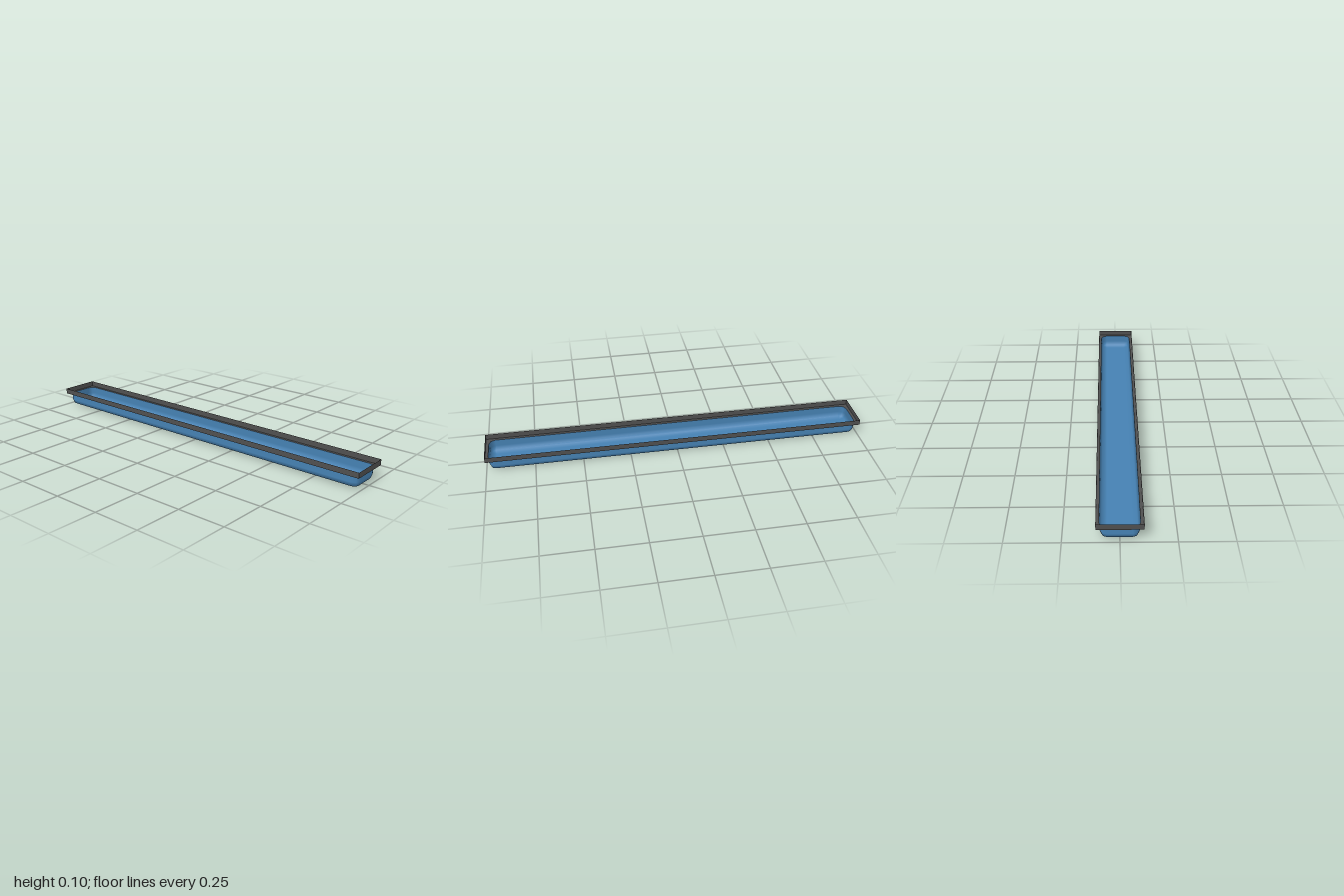
import * as THREE from 'three';

const X = 0.089, Z = 0.985, R = 0.033;      // basin half sizes and edge radius
const RIM_X = 0.104, RIM_Z = 1, LEDGE = 0.068, TOP = 0.097;
const STEPS = 2;                            // segments per rounded quarter

// Plan directions around the four rounded corners, with each corner's centre
function cornerPoints() {
  const pts = [];
  const signs = [[1, 1], [-1, 1], [-1, -1], [1, -1]];
  signs.forEach(([sx, sz], q) => {
    for (let i = 0; i <= STEPS; i++) {
      const a = (q + i / STEPS) * Math.PI / 2;
      pts.push({ cx: sx * (X - R), cz: sz * (Z - R), dx: Math.cos(a), dz: Math.sin(a) });
    }
  });
  return pts;
}

// Open tray: straight walls curving into a flat floor
function basinGeometry() {
  const plan = cornerPoints(), n = plan.length;
  const rows = [{ y: LEDGE, a: 0 }];
  for (let i = 0; i <= STEPS; i++) {
    const a = i / STEPS * Math.PI / 2;
    rows.push({ y: R * (1 - Math.sin(a)), a });
  }
  const pos = [], nor = [], idx = [];
  for (const { y, a } of rows) {
    const c = Math.cos(a), s = Math.sin(a);
    for (const p of plan) {
      pos.push(p.cx + p.dx * R * c, y, p.cz + p.dz * R * c);
      nor.push(p.dx * c, -s, p.dz * c);
    }
  }
  for (let r = 0; r < rows.length - 1; r++) {
    for (let i = 0; i < n; i++) {
      const a = r * n + i, b = r * n + (i + 1) % n;
      idx.push(a, b, a + n, b, b + n, a + n);
    }
  }
  // floor fan
  const base = (rows.length - 1) * n;
  for (let i = 1; i < n - 1; i++) idx.push(base, base + i, base + i + 1);
  const g = new THREE.BufferGeometry();
  g.setAttribute('position', new THREE.Float32BufferAttribute(pos, 3));
  g.setAttribute('normal', new THREE.Float32BufferAttribute(nor, 3));
  g.setIndex(idx);
  return g;
}

// Flat ledge with a rounded opening for the basin
function ledgeGeometry() {
  const shape = new THREE.Shape([[-1, -1], [1, -1], [1, 1], [-1, 1]]
    .map(([x, z]) => new THREE.Vector2(x * RIM_X, z * RIM_Z)));
  shape.holes.push(new THREE.Path(cornerPoints()
    .map(p => new THREE.Vector2(p.cx + p.dx * R, p.cz + p.dz * R))));
  return new THREE.ShapeGeometry(shape).rotateX(-Math.PI / 2).translate(0, LEDGE, 0);
}

export function createModel() {
  const model = new THREE.Group();
  model.name = 'trough';
  const blue = new THREE.MeshStandardMaterial({ color: 0x4682b4, side: THREE.DoubleSide });
  blue.name = 'basin blue';
  const grey = new THREE.MeshStandardMaterial({ color: 0x505050, side: THREE.DoubleSide });
  grey.name = 'rim grey';

  const add = (name, geometry, material, parent = model) => {
    const mesh = new THREE.Mesh(geometry, material);
    mesh.name = name;
    parent.add(mesh);
    return mesh;
  };

  add('basin', basinGeometry(), blue);

  const rim = new THREE.Group();
  rim.name = 'rim';
  model.add(rim);
  add('ledge', ledgeGeometry(), grey, rim);

  // Thin upright walls around the ledge
  const h = TOP - LEDGE, y = (TOP + LEDGE) / 2;
  for (const s of [1, -1]) {
    const side = add(s > 0 ? 'leftWall' : 'rightWall', new THREE.PlaneGeometry(2 * RIM_Z, h), grey, rim);
    side.rotation.y = s * Math.PI / 2;
    side.position.set(s * RIM_X, y, 0);
    const end = add(s > 0 ? 'frontWall' : 'backWall', new THREE.PlaneGeometry(2 * RIM_X, h), grey, rim);
    end.rotation.y = s > 0 ? 0 : Math.PI;
    end.position.set(0, y, s * RIM_Z);
  }
  return model;
}
